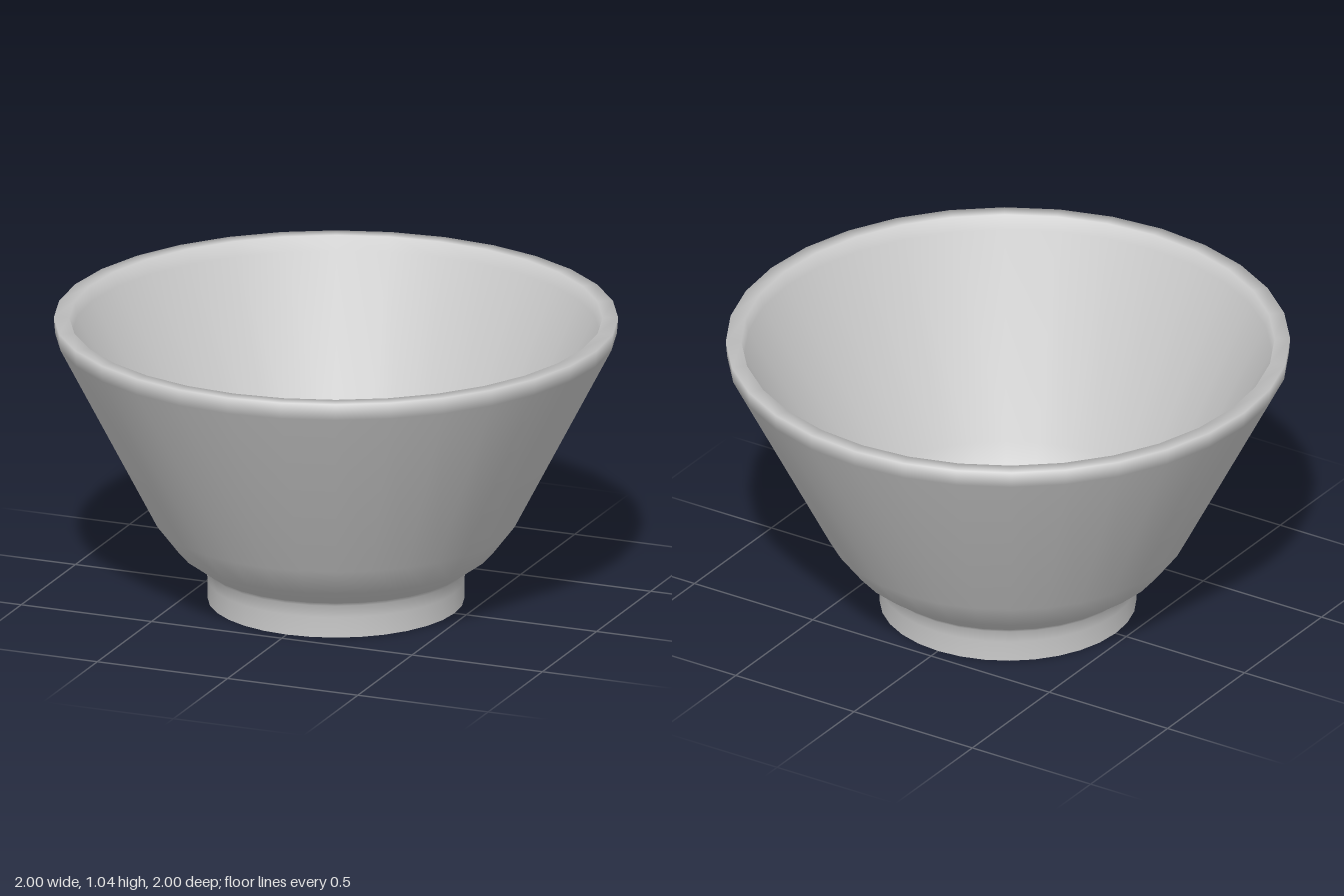
import * as THREE from 'three';

const SEGMENTS = 32;

// Revolves a list of [radius, height] points around the y axis.
function revolve(name, points, material) {
  const profile = points.map(([r, y]) => new THREE.Vector2(r, y));
  const mesh = new THREE.Mesh(new THREE.LatheGeometry(profile, SEGMENTS), material);
  mesh.name = name;
  return mesh;
}

export function createModel() {
  const group = new THREE.Group();
  group.name = 'bowl';
  const material = new THREE.MeshStandardMaterial({ color: 0xcccccc, side: THREE.DoubleSide });

  // Flat underside and short foot ring
  group.add(revolve('footBase', [[0, 0], [0.455, 0]], material));
  group.add(revolve('foot', [[0.455, 0], [0.455, 0.075], [0.462, 0.12], [0.475, 0.135]], material));

  // Outer wall, rim and inner wall down to the floor
  group.add(revolve('body', [
    [0.462, 0.125], [0.565, 0.2], [0.645, 0.305], [0.995, 0.985],
    [1.0, 1.045], [0.945, 1.045],
    [0.935, 0.99], [0.59, 0.325], [0.53, 0.245], [0.44, 0.19], [0, 0.18],
  ], material));

  return group;
}
